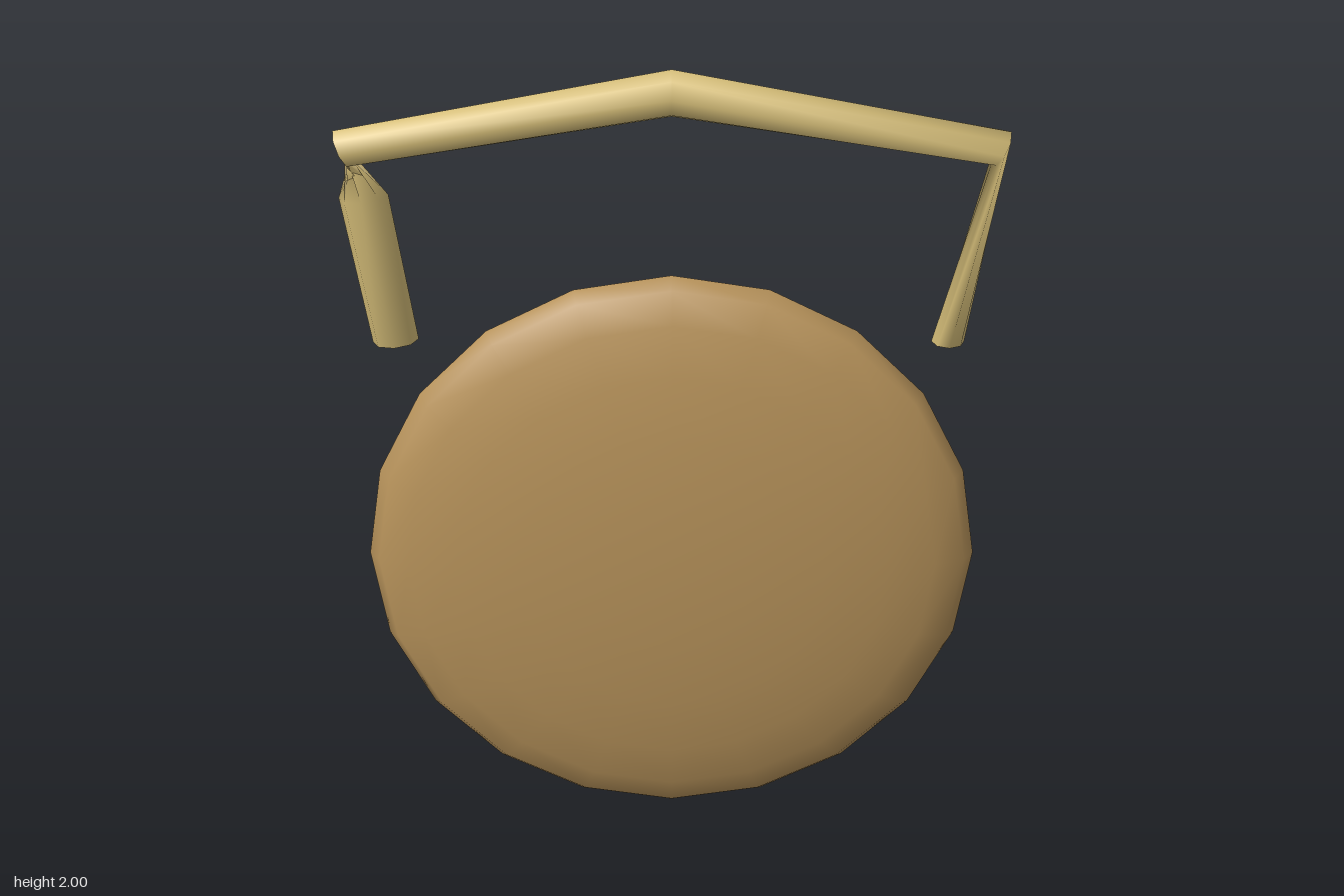
import * as THREE from 'three';

export function createModel() {
  const model = new THREE.Group();
  const mat = (name, color, side = THREE.FrontSide) => {
    const m = new THREE.MeshStandardMaterial({ color, side });
    m.name = name;
    return m;
  };
  const tan = mat('tan', 0xba955c, THREE.DoubleSide);
  const straw = mat('straw', 0xd8c07a, THREE.DoubleSide);
  const grey = mat('grey', 0xb8b2a6);

  const add = (name, geometry, material, x = 0, y = 0, z = 0) => {
    const mesh = new THREE.Mesh(geometry, material);
    mesh.name = name;
    mesh.position.set(x, y, z);
    model.add(mesh);
    return mesh;
  };

  // Flattened spheres with their poles along z
  const lens = (radius, depth, sides, rows) =>
    new THREE.SphereGeometry(1, sides, rows).rotateX(Math.PI / 2).scale(radius, radius, depth);
  add('frontDisc', lens(0.73, 0.13, 20, 12), tan, 0, 0.735, 0.14);
  add('backDisc', lens(0.585, 0.085, 20, 12), straw, 0, 0.74, -0.02);
  add('hub', lens(0.12, 0.067, 12, 8), grey, 0, 0.735, -0.257);

  // Open barrel-shaped spokes, alternately thick and thin
  const spoke = (length, end, middle) => {
    const profile = [];
    for (let i = 0; i <= 6; i++) {
      const t = i / 6;
      profile.push(new THREE.Vector2(end + (middle - end) * Math.sin(Math.PI * t), length * t));
    }
    return new THREE.LatheGeometry(profile, 7);
  };
  const thick = spoke(0.493, 0.056, 0.076);
  const thin = spoke(0.51, 0.032, 0.048);
  for (let i = 0; i < 8; i++) {
    const mesh = add(i % 2 ? 'thinSpoke' : 'thickSpoke', i % 2 ? thin : thick, tan, 0, 0.738, -0.175);
    mesh.rotation.z = (i * Math.PI) / 4;
  }

  // Bent handle: rings of [centre, first radius vector, second radius vector],
  // with a half twist pinching the tube at the right corner
  const rings = [
    [[-0.637, 1.307, 0.15], [0.053, 0.004, 0], [0, 0, -0.045]],
    [[-0.68, 1.695, 0.23], [0.055, 0.004, 0], [0, 0, -0.045]],
    [[-0.715, 1.822, 0.27], [-0.018, 0.04, 0], [0, 0, 0.053]],
    [[0, 1.947, 0.27], [0, 0.053, 0], [0, 0, 0.053]],
    [[0.715, 1.822, 0.27], [0.02, 0.037, 0], [0, 0, 0.053]],
    [[0.638, 1.305, 0.152], [0.038, 0, 0], [0, 0, 0.04]],
  ];
  const sides = 8, positions = [], index = [];
  rings.forEach(([c, u, v], i) => {
    for (let j = 0; j < sides; j++) {
      const a = (j / sides) * Math.PI * 2;
      for (let k = 0; k < 3; k++) positions.push(c[k] + u[k] * Math.cos(a) + v[k] * Math.sin(a));
      if (i < rings.length - 1) {
        const p = i * sides + j, q = i * sides + ((j + 1) % sides);
        index.push(p, q, q + sides, p, q + sides, p + sides);
      }
    }
  });
  const handle = new THREE.BufferGeometry();
  handle.setAttribute('position', new THREE.Float32BufferAttribute(positions, 3));
  handle.setIndex(index);
  handle.computeVertexNormals();
  add('handle', handle, straw);

  return model;
}
